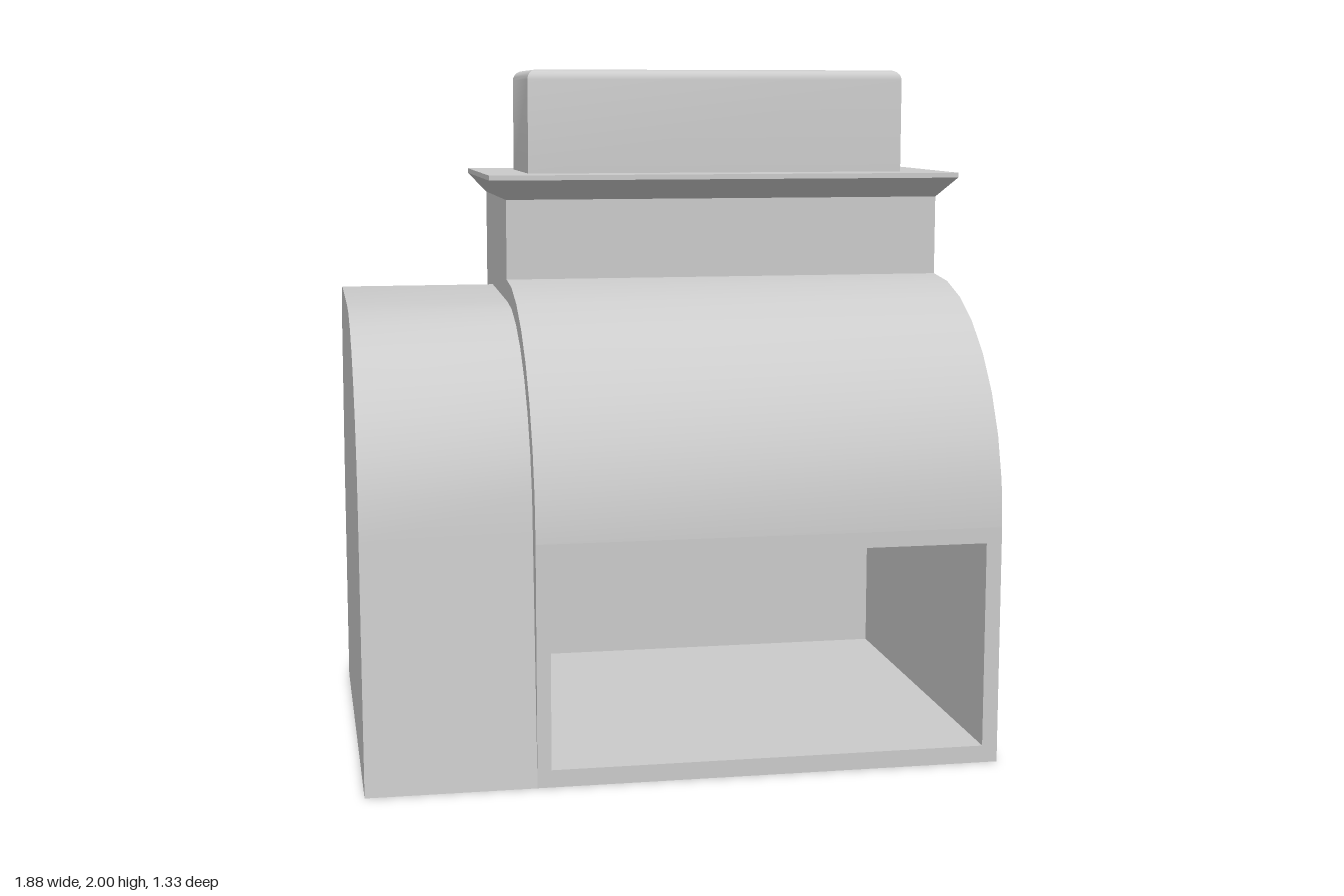
import * as THREE from 'three';
import { toCreasedNormals } from 'three/addons/utils/BufferGeometryUtils.js';

const material = new THREE.MeshStandardMaterial({ color: 0xcccccc });
const FRONT = 0.665, BACK = -0.61, LEFT = 0.885, RIGHT = -0.46;

function part(name, geometry) {
  const mesh = new THREE.Mesh(geometry, material);
  mesh.name = name;
  return mesh;
}

// Points [z, y] along an elliptical arc, angles in degrees from +z towards +y
function arc(cz, cy, rz, ry, from, to, steps) {
  return Array.from({ length: steps + 1 }, (_, i) => {
    const a = THREE.MathUtils.degToRad(from + (to - from) * i / steps);
    return [cz + rz * Math.cos(a), cy + ry * Math.sin(a)];
  });
}

// Side profile of [z, y] points extruded along x
function extrudeX(profile, x0, x1) {
  const shape = new THREE.Shape(profile.map(([z, y]) => new THREE.Vector2(-z, y)));
  const geo = new THREE.ExtrudeGeometry(shape, { depth: x1 - x0, bevelEnabled: false });
  geo.rotateY(Math.PI / 2).translate(x0, 0, 0);
  return toCreasedNormals(geo, 0.45);
}

// Remove the triangles that lie in the plane z = FRONT
function openFront(geo) {
  const p = geo.attributes.position, n = geo.attributes.normal;
  const pos = [], nor = [];
  for (let t = 0; t < p.count; t += 3) {
    const tri = [t, t + 1, t + 2];
    if (tri.every(i => Math.abs(p.getZ(i) - FRONT) < 1e-4)) continue;
    for (const i of tri) {
      pos.push(p.getX(i), p.getY(i), p.getZ(i));
      nor.push(n.getX(i), n.getY(i), n.getZ(i));
    }
  }
  const out = new THREE.BufferGeometry();
  out.setAttribute('position', new THREE.Float32BufferAttribute(pos, 3));
  out.setAttribute('normal', new THREE.Float32BufferAttribute(nor, 3));
  return out;
}

// Stack of rectangles grown outwards by d at height y, closed at both ends
function rectLoft([x0, x1, z0, z1], rings) {
  const pos = [], index = [];
  for (const [d, y] of rings) {
    pos.push(x0 - d, y, z1 + d, x1 + d, y, z1 + d, x1 + d, y, z0 - d, x0 - d, y, z0 - d);
  }
  for (let r = 0; r < rings.length - 1; r++) {
    for (let i = 0; i < 4; i++) {
      const a = r * 4 + i, b = r * 4 + (i + 1) % 4;
      index.push(a, b, b + 4, a, b + 4, a + 4);
    }
  }
  const t = (rings.length - 1) * 4;
  index.push(0, 2, 1, 0, 3, 2, t, t + 1, t + 2, t, t + 2, t + 3);
  const geo = new THREE.BufferGeometry();
  geo.setAttribute('position', new THREE.Float32BufferAttribute(pos, 3));
  geo.setIndex(index);
  return toCreasedNormals(geo, 0.6);
}

export function createModel() {
  const group = new THREE.Group();
  group.name = 'oven';

  // Main body with a curved front shoulder and an upright chimney breast
  const bodyProfile = [
    [BACK, 0], [FRONT, 0],
    ...arc(-0.01, 0.695, FRONT + 0.01, 0.675, 0, 90, 8),
    [-0.01, 1.61], [BACK, 1.61],
  ];
  group.add(part('body', openFront(extrudeX(bodyProfile, RIGHT, LEFT))));

  // Flat front frame around the opening
  const hole = { x0: -0.42, x1: 0.84, y0: 0.05, y1: 0.65, back: -0.56 };
  const rect = (x0, y0, x1, y1) =>
    [[x0, y0], [x1, y0], [x1, y1], [x0, y1]].map(([x, y]) => new THREE.Vector2(x, y));
  const panel = new THREE.Shape(rect(RIGHT, 0, LEFT, 0.695));
  panel.holes.push(new THREE.Path(rect(hole.x0, hole.y0, hole.x1, hole.y1)));
  group.add(part('frontFrame', new THREE.ShapeGeometry(panel).translate(0, 0, FRONT)));

  // Inward-facing walls of the opening
  const cavity = new THREE.BoxGeometry(hole.x1 - hole.x0, hole.y1 - hole.y0, FRONT - hole.back)
    .toNonIndexed().scale(1, 1, -1);
  cavity.translate((hole.x0 + hole.x1) / 2, (hole.y0 + hole.y1) / 2, (FRONT + hole.back) / 2);
  cavity.computeVertexNormals();
  group.add(part('openingWalls', openFront(cavity)));

  // Lower side wing with leaning faces and a rounded top
  const wingProfile = [
    [BACK, 0], [FRONT, 0],
    ...arc(0, 0.7, 0.605, 0.605, 0, 90, 8),
    ...arc(-0.43, 1.2, 0.12, 0.12, 90, 175, 6),
    [BACK, 0.7],
  ];
  group.add(part('sideWing', extrudeX(wingProfile, -0.94, RIGHT)));

  // Flared cornice with a thin slab on top
  group.add(part('cornice', rectLoft([RIGHT, LEFT, BACK, -0.01],
    [[0, 1.61], [0.055, 1.67], [0.055, 1.685]])));

  // Chimney block with softened top edges
  const r = 0.03;
  const softened = Array.from({ length: 6 }, (_, i) => {
    const a = i / 5 * Math.PI / 2;
    return [r * (Math.cos(a) - 1), 2 - r + r * Math.sin(a)];
  });
  group.add(part('chimney', rectLoft([-0.38, 0.8, -0.51, -0.11], [[0, 1.68], ...softened])));

  return group;
}
